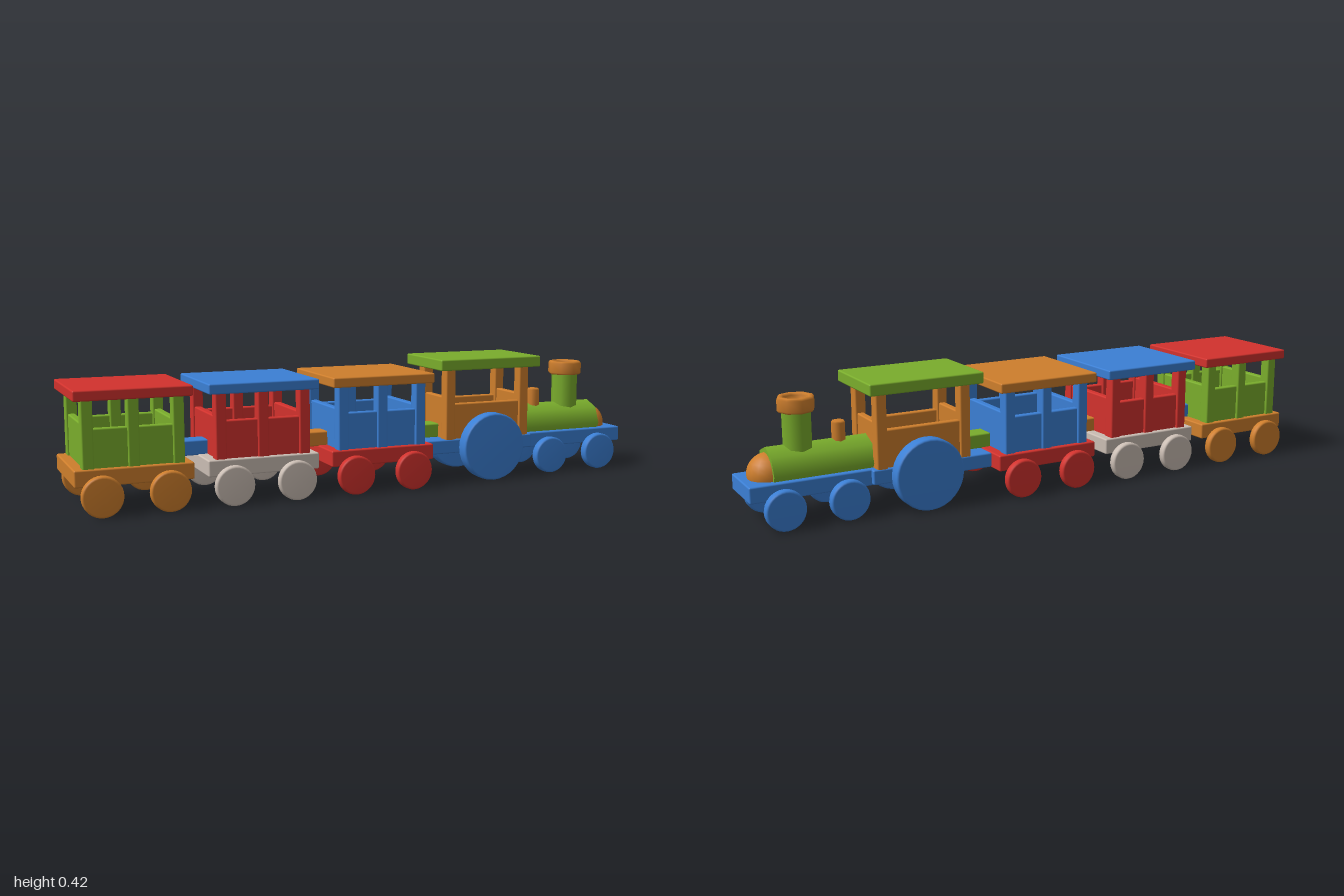
import * as THREE from 'three';
import { RoundedBoxGeometry } from 'three/addons/geometries/RoundedBoxGeometry.js';

const paint = (name, color) => {
  const m = new THREE.MeshStandardMaterial({ color });
  m.name = name;
  return m;
};

export function createModel() {
  const red = paint('red', 0xd2322d);
  const blue = paint('blue', 0x3b7fd4);
  const orange = paint('orange', 0xce7e2c);
  const green = paint('green', 0x7aad2c);
  const grey = paint('warm grey', 0xcabdb3);

  const train = new THREE.Group();
  train.name = 'toyTrain';

  const add = (parent, name, geometry, material, x, y, z) => {
    const mesh = new THREE.Mesh(geometry, material);
    mesh.name = name;
    mesh.position.set(x, y, z);
    parent.add(mesh);
    return mesh;
  };

  // Softly bevelled block given by its extents on each axis
  const block = (parent, name, material, [x0, x1], [y0, y1], [z0, z1], bevel = 0.005) =>
    add(parent, name, new RoundedBoxGeometry(x1 - x0, y1 - y0, z1 - z0, 2, bevel), material,
      (x0 + x1) / 2, (y0 + y1) / 2, (z0 + z1) / 2);

  // Disc with rounded rims, axle along z
  const wheelPair = (parent, name, material, x, radius, z0, z1) => {
    const h = (z1 - z0) / 2, b = 0.007;
    const profile = [
      [0, -h], [radius - b, -h], [radius - b * 0.3, -h + b * 0.3], [radius, -h + b],
      [radius, h - b], [radius - b * 0.3, h - b * 0.3], [radius - b, h], [0, h],
    ].map(([r, y]) => new THREE.Vector2(r, y));
    const geometry = new THREE.LatheGeometry(profile, 32).rotateX(Math.PI / 2);
    for (const s of [-1, 1]) {
      add(parent, name, geometry, material, x, radius + 0.003, s * (z0 + z1) / 2);
    }
  };

  // Open wagon with posts, half-height walls and a flat roof
  const wagon = (name, x, chassis, body, roof) => {
    const g = new THREE.Group();
    g.name = name;
    g.position.x = x;
    block(g, 'chassis', chassis, [-0.184, 0.184], [0.096, 0.149], [-0.16, 0.16]);
    block(g, 'roof', roof, [-0.182, 0.182], [0.356, 0.389], [-0.17, 0.17]);
    for (const s of [-1, 1]) {
      for (const px of [-0.139, 0, 0.139]) {
        block(g, 'post', body, [px - 0.018, px + 0.018], [0.14, 0.36], [s * 0.132 - 0.02, s * 0.132 + 0.02]);
      }
      block(g, 'sideWall', body, [-0.135, 0.135], [0.14, 0.27], [s * 0.132 - 0.012, s * 0.132 + 0.012]);
      block(g, 'endWall', body, [s * 0.139 - 0.012, s * 0.139 + 0.012], [0.14, 0.282], [-0.13, 0.13]);
      wheelPair(g, 'wheel', chassis, s * 0.104, 0.064, 0.158, 0.187);
    }
    train.add(g);
  };
  wagon('rearWagon', -0.815, orange, green, red);
  wagon('middleWagon', -0.403, grey, red, blue);
  wagon('frontWagon', 0.01, red, blue, orange);

  // Couplings between the vehicles
  [[-0.609, blue], [-0.197, orange], [0.222, green]].forEach(([x, material]) =>
    block(train, 'coupling', material, [x - 0.062, x + 0.062], [0.146, 0.195], [-0.035, 0.035]));

  const engine = new THREE.Group();
  engine.name = 'engine';
  train.add(engine);

  // Frame and wheels
  block(engine, 'rearFrame', blue, [0.194, 0.61], [0.1, 0.148], [-0.107, 0.107]);
  block(engine, 'frontFrame', blue, [0.58, 0.998], [0.096, 0.148], [-0.09, 0.09]);
  wheelPair(engine, 'drivingWheel', blue, 0.435, 0.117, 0.106, 0.155);
  for (const x of [0.69, 0.895]) wheelPair(engine, 'leadingWheel', blue, x, 0.064, 0.088, 0.121);

  // Cab
  for (const x of [0.288, 0.577]) {
    for (const s of [-1, 1]) {
      block(engine, 'cabPost', orange, [x - 0.018, x + 0.018], [0.14, 0.395], [s * 0.085 - 0.02, s * 0.085 + 0.02]);
    }
    block(engine, 'cabEndWall', orange, [x - 0.012, x + 0.012], [0.14, 0.293], [-0.085, 0.085]);
  }
  for (const s of [-1, 1]) {
    block(engine, 'cabSideWall', orange, [0.285, 0.58], [0.14, 0.27], [s * 0.085 - 0.012, s * 0.085 + 0.012]);
  }
  block(engine, 'cabRoof', green, [0.235, 0.625], [0.389, 0.427], [-0.134, 0.134]);

  // Eight-sided boiler, its underside sunk flat into the frame
  const boiler = new THREE.CylinderGeometry(0.078, 0.078, 0.335, 8).rotateZ(-Math.PI / 2);
  const p = boiler.attributes.position;
  for (let i = 0; i < p.count; i++) p.setY(i, Math.max(p.getY(i), -0.045));
  add(engine, 'boiler', boiler, green, 0.748, 0.164, 0);

  // Domed nose, upper half only
  const nose = new THREE.SphereGeometry(0.066, 16, 8, 0, Math.PI * 2, 0, Math.PI * 0.6);
  add(engine, 'nose', nose, orange, 0.91, 0.158, 0);

  // Chimney with a hollow eight-sided cap
  add(engine, 'chimney', new THREE.CylinderGeometry(0.047, 0.047, 0.15, 8), green, 0.813, 0.275, 0);
  const capProfile = [
    [0, 0.342], [0.054, 0.342], [0.06, 0.349], [0.06, 0.383], [0.055, 0.39],
    [0.044, 0.39], [0.039, 0.383], [0.039, 0.365], [0, 0.365],
  ].map(([r, y]) => new THREE.Vector2(r, y));
  add(engine, 'chimneyCap', new THREE.LatheGeometry(capProfile, 8), orange, 0.813, 0, 0);

  // Whistle on top of the boiler
  const whistleProfile = [[0.023, 0.22], [0.023, 0.29], [0.019, 0.296], [0, 0.296]]
    .map(([r, y]) => new THREE.Vector2(r, y));
  add(engine, 'whistle', new THREE.LatheGeometry(whistleProfile, 8), orange, 0.68, 0, 0);

  return train;
}
